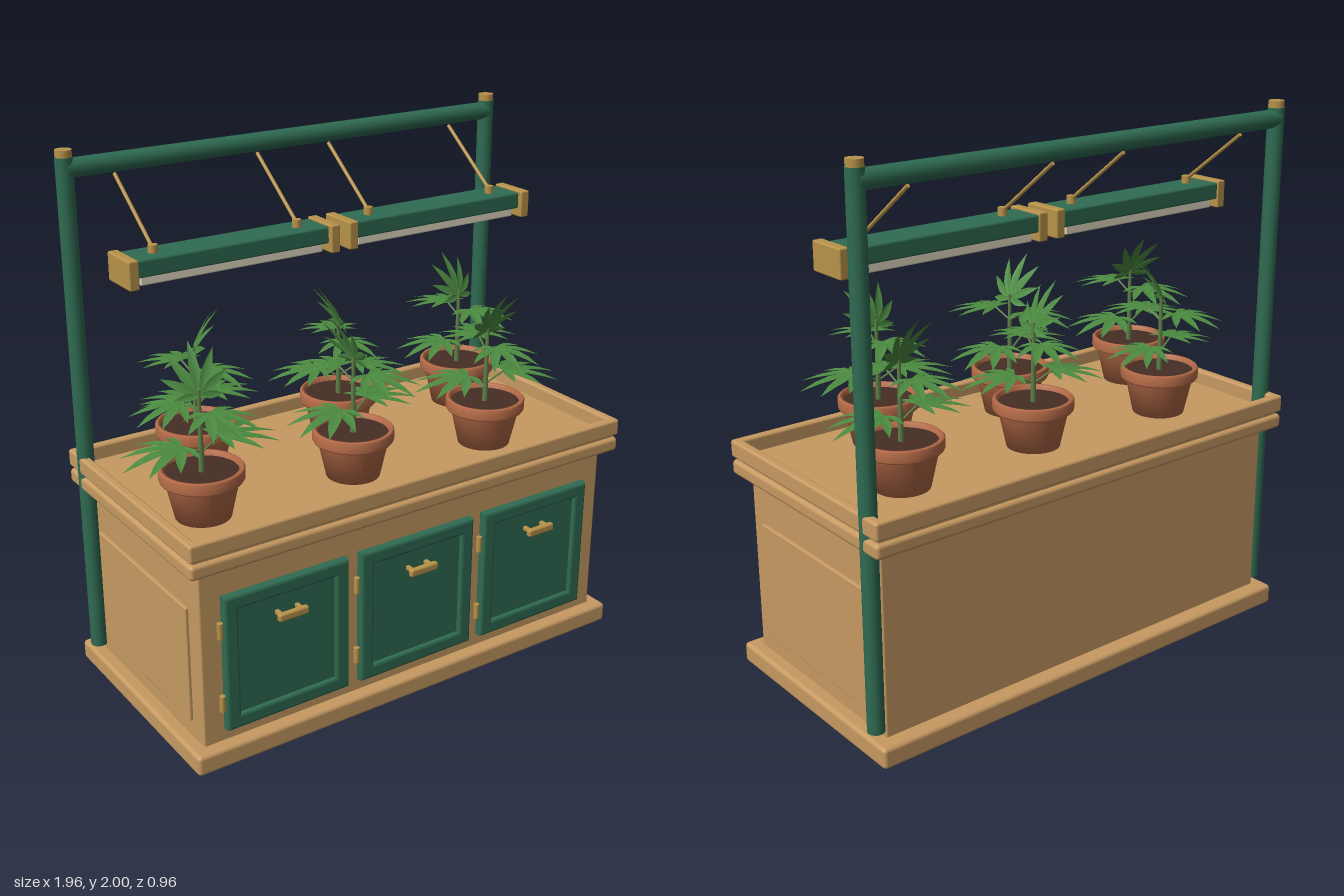
import * as THREE from 'three';
import { mergeGeometries } from 'three/addons/utils/BufferGeometryUtils.js';
import { RoundedBoxGeometry } from 'three/addons/geometries/RoundedBoxGeometry.js';

const mat = (name, color, side = THREE.FrontSide) => {
  const m = new THREE.MeshStandardMaterial({ color, side });
  m.name = name;
  return m;
};

export function createModel() {
  const wood = mat('wood', 0xc79a62);
  const green = mat('green paint', 0x2f6b52);
  const brass = mat('brass', 0xb8934a);
  const clay = mat('terracotta', 0xb96d49);
  const soilMat = mat('soil', 0x452e24);
  const glow = mat('lamp diffuser', 0xe6dcc6);
  const leafMat = mat('leaf', 0x4b8a40, THREE.DoubleSide);
  const stemMat = mat('stem', 0x5f8048);

  const model = new THREE.Group();
  model.name = 'plantBench';

  const add = (parent, name, geo, material, x = 0, y = 0, z = 0) => {
    const m = new THREE.Mesh(geo, material);
    m.name = name;
    m.position.set(x, y, z);
    parent.add(m);
    return m;
  };
  // Softened box given by its min and max on each axis
  const box = (parent, name, material, [x0, x1], [y0, y1], [z0, z1], r = 0.006) =>
    add(parent, name, new RoundedBoxGeometry(x1 - x0, y1 - y0, z1 - z0, 2, r), material,
      (x0 + x1) / 2, (y0 + y1) / 2, (z0 + z1) / 2);
  // Round rod between two points
  const rod = (parent, name, material, a, b, r, sides = 8, rTop = r) => {
    const p = new THREE.Vector3(...a), q = new THREE.Vector3(...b), d = q.clone().sub(p);
    const m = add(parent, name, new THREE.CylinderGeometry(rTop, r, d.length(), sides), material);
    m.position.copy(p).add(q).multiplyScalar(0.5);
    m.quaternion.setFromUnitVectors(new THREE.Vector3(0, 1, 0), d.normalize());
    return m;
  };

  // Cabinet
  const X = [-0.885, 0.98], Z = [-0.47, 0.455];
  box(model, 'plinth', wood, X, [0, 0.078], Z, 0.015);
  box(model, 'cabinetBody', wood, [-0.835, 0.93], [0.07, 0.765], [-0.41, 0.405], 0.008);
  box(model, 'topSlab', wood, X, [0.755, 0.81], Z, 0.015);
  box(model, 'trayFloor', wood, [-0.87, 0.965], [0.8, 0.83], [-0.455, 0.44], 0.005);
  const t = 0.036;
  for (const [x, z] of [
    [X, [Z[0], Z[0] + t]], [X, [Z[1] - t, Z[1]]],
    [[X[0], X[0] + t], Z], [[X[1] - t, X[1]], Z],
  ]) box(model, 'trayWall', wood, x, [0.82, 0.885], z, 0.01);
  for (const x of [[-0.847, -0.83], [0.925, 0.942]])
    box(model, 'sidePanel', wood, x, [0.145, 0.59], [-0.335, 0.33], 0.005);

  // Doors: bevelled frame, recessed panel, handle and hinges
  const rect = (S, w, h) => new S([[-w, -h], [w, -h], [w, h], [-w, h]].map(p => new THREE.Vector2(...p)));
  for (const cx of [-0.505, 0.047, 0.598]) {
    const door = new THREE.Group();
    door.name = 'door';
    door.position.set(cx, 0.385, 0.405);
    model.add(door);
    const frame = rect(THREE.Shape, 0.24, 0.25);
    frame.holes.push(rect(THREE.Path, 0.205, 0.215));
    const geo = new THREE.ExtrudeGeometry(frame, {
      depth: 0.02, bevelThickness: 0.01, bevelSize: 0.01, bevelSegments: 2,
    });
    add(door, 'doorFrame', geo, green);
    add(door, 'doorPanel', new THREE.BoxGeometry(0.42, 0.44, 0.016), green, 0, 0, 0.007);
    box(door, 'doorHandle', brass, [-0.06, 0.06], [0.125, 0.155], [0.045, 0.068], 0.008);
    for (const s of [-1, 1])
      box(door, 'handlePost', brass, [s * 0.04 - 0.008, s * 0.04 + 0.008], [0.132, 0.148], [0.01, 0.05], 0.003);
    for (const y of [-0.15, 0.135])
      rod(door, 'hinge', brass, [-0.26, y - 0.03, 0.012], [-0.26, y + 0.03, 0.012], 0.011, 10);
  }

  // Posts and crossbar
  const pz = -0.382;
  for (const x of [-0.856, 0.951]) {
    rod(model, 'post', green, [x, 0.1, pz], [x, 1.975, pz], 0.031, 16);
    rod(model, 'postCap', brass, [x, 1.97, pz], [x, 2, pz], 0.029, 16);
  }
  rod(model, 'crossbar', green, [-0.856, 1.935, pz], [0.951, 1.935, pz], 0.034, 16);

  // Hanging lamps
  for (const [x0, x1, rods] of [[-0.77, -0.01, [-0.675, -0.108]], [0.1, 0.865, [0.2, 0.765]]]) {
    const lamp = new THREE.Group();
    lamp.name = 'lamp';
    model.add(lamp);
    box(lamp, 'lampHousing', green, [x0, x1], [1.618, 1.68], [-0.193, -0.055], 0.008);
    box(lamp, 'lampDiffuser', glow, [x0 + 0.02, x1 - 0.02], [1.587, 1.622], [-0.18, -0.068], 0.006);
    for (const e of [[x0 - 0.035, x0 + 0.003], [x1 - 0.003, x1 + 0.035]])
      box(lamp, 'lampEndCap', brass, e, [1.585, 1.687], [-0.197, -0.037], 0.006);
    for (const x of rods) {
      rod(lamp, 'hangerRod', brass, [x, 1.695, -0.118], [x, 1.895, -0.38], 0.007);
      rod(lamp, 'hangerFoot', brass, [x, 1.675, -0.118], [x, 1.708, -0.118], 0.017, 12);
    }
  }

  // Palmate leaf of unit length in the xz plane, tip toward +z
  const profile = [[0, 0.012], [0.2, 0.06], [0.45, 0.105], [0.7, 0.075], [1, 0]];
  const leaflet = (angle, len) => {
    const pos = [], idx = [];
    profile.forEach(([d, w], i) => {
      for (const s of [-1, 0, 1]) {
        const x = s * w * (0.45 + 0.55 * len), z = d * len, r2 = z * z;
        pos.push(x * Math.cos(angle) + z * Math.sin(angle), Math.abs(s) * w * 0.25 - 0.16 * r2,
          z * Math.cos(angle) - x * Math.sin(angle));
      }
      if (i) for (const k of [0, 1]) {
        const a = (i - 1) * 3 + k, b = i * 3 + k;
        idx.push(a, b, b + 1, a, b + 1, a + 1);
      }
    });
    const g = new THREE.BufferGeometry();
    g.setAttribute('position', new THREE.Float32BufferAttribute(pos, 3));
    g.setIndex(idx);
    g.computeVertexNormals();
    return g;
  };
  const fan = [[0, 1], [0.5, 0.92], [1.02, 0.75], [1.65, 0.48]];
  const leafGeo = mergeGeometries(fan.flatMap(([a, l]) =>
    a ? [leaflet(a, l), leaflet(-a, l)] : [leaflet(0, l)]));

  // Flower pot profile
  const potGeo = new THREE.LatheGeometry([
    [0, 0], [0.097, 0], [0.127, 0.135], [0.143, 0.138], [0.147, 0.145], [0.147, 0.178],
    [0.141, 0.184], [0.13, 0.182], [0.126, 0.15],
  ].map(p => new THREE.Vector2(...p)), 28);

  // Potted plants: x, z, yaw of the leaf pairs, yaw of the top leaf, leaf spread
  const plants = [
    [-0.683, 0.18, 0.05, 3.0, 1.02], [-0.075, 0.19, 0.3, -1.5, 1],
    [0.502, 0.222, -0.2, 0.15, 1], [-0.51, -0.175, 0.25, 1.1, 0.92],
    [0.09, -0.15, -0.3, -1.75, 0.92], [0.675, -0.17, 0.1, 3.4, 0.95],
  ];
  for (const [x, z, yaw, topYaw, spread] of plants) {
    const plant = new THREE.Group();
    plant.name = 'pottedPlant';
    plant.position.set(x, 0.828, z);
    model.add(plant);
    add(plant, 'pot', potGeo, clay);
    add(plant, 'soil', new THREE.CylinderGeometry(0.128, 0.122, 0.02, 28), soilMat, 0, 0.156, 0);
    rod(plant, 'stem', stemMat, [0, 0.15, 0], [0, 0.46, 0], 0.011, 8, 0.006);

    // Two crossed tiers of opposite leaves
    for (const [h, turn, reach, size] of [[0.235, Math.PI / 2, 0.075, 0.22], [0.36, 0, 0.065, 0.205]])
      for (const side of [0, Math.PI]) {
        const branch = new THREE.Group();
        branch.name = 'leafBranch';
        branch.rotation.y = yaw + turn + side;
        plant.add(branch);
        rod(branch, 'leafStalk', stemMat, [0, h, 0], [0, h + 0.04, reach], 0.004, 6);
        add(branch, 'leaf', leafGeo, leafMat, 0, h + 0.04, reach).scale.setScalar(size * spread);
      }

    // Upright top leaf
    const top = add(plant, 'topLeaf', leafGeo, leafMat, 0, 0.44, 0);
    top.scale.setScalar(0.185);
    top.rotation.set(-1.22, topYaw, 0, 'YXZ');
  }
  return model;
}
